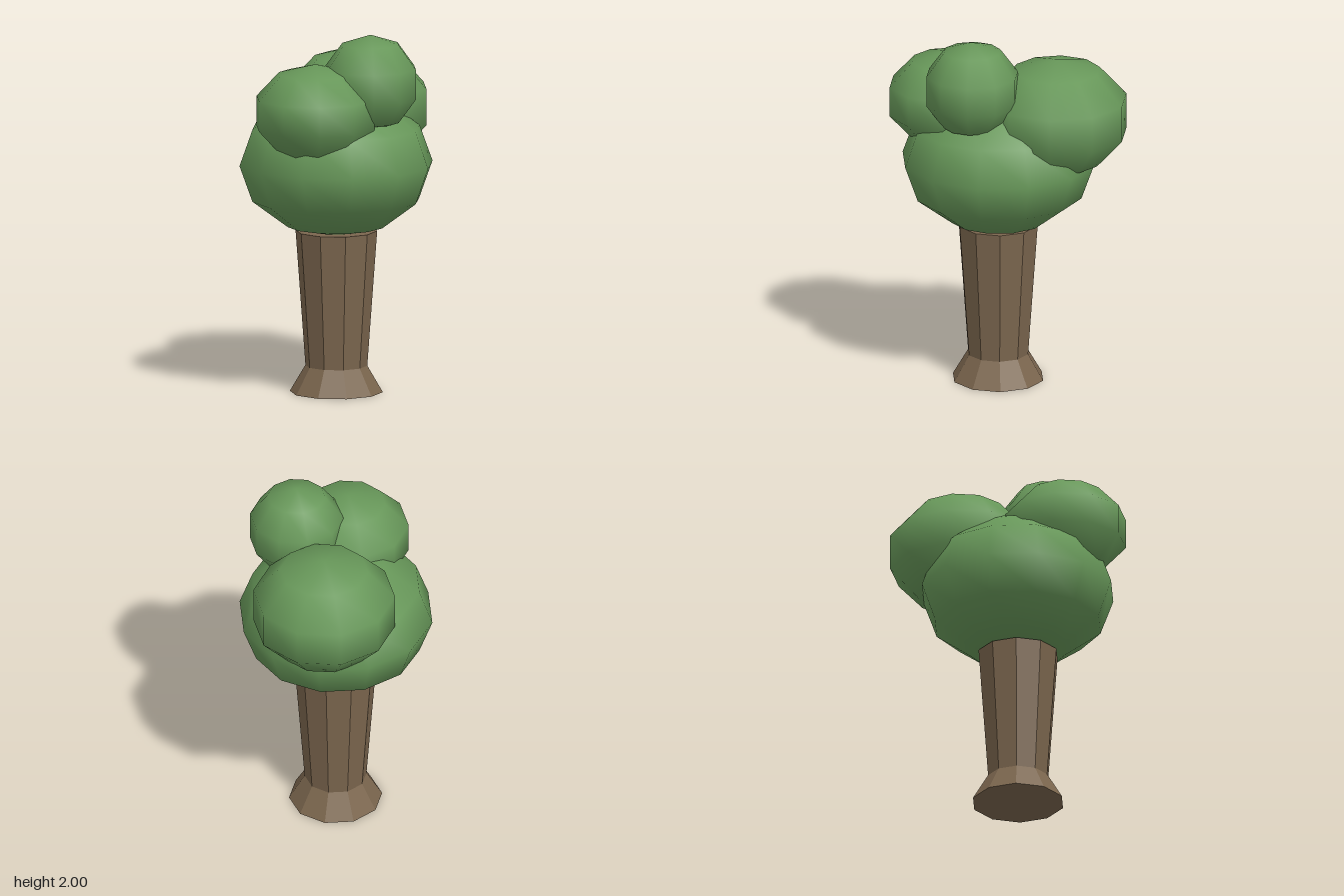
import * as THREE from 'three';

export function createModel() {
  const tree = new THREE.Group();
  tree.name = 'tree';
  const bark = new THREE.MeshStandardMaterial({ color: 0x7b664e });
  bark.name = 'bark brown';
  bark.flatShading = true;
  const leaf = new THREE.MeshStandardMaterial({ color: 0x679759 });
  leaf.name = 'leaf green';

  const add = (name, geometry, material, x, y, z) => {
    const mesh = new THREE.Mesh(geometry, material);
    mesh.name = name;
    mesh.position.set(x, y, z);
    tree.add(mesh);
    return mesh;
  };

  // Trunk: ten-sided, flared foot, widening toward the crown, closed at both ends
  const profile = [[0, 0], [0.254, 0], [0.169, 0.145], [0.223, 0.89], [0, 0.89]]
    .map(([r, y]) => new THREE.Vector2(r, y));
  add('trunk', new THREE.LatheGeometry(profile, 10, Math.PI / 20), bark, -0.047, 0, 0.008);

  // Foliage: smooth low-poly balls, slightly flattened
  const foliage = (name, sides, rings, radius, height, x, y, z) => {
    const ball = new THREE.SphereGeometry(1, sides, rings, Math.PI / 2);
    add(name, ball, leaf, x, y, z).scale.set(radius, height, radius);
  };
  foliage('mainFoliage', 12, 6, 0.533, 0.398, -0.047, 1.26, 0.005);
  foliage('leftFoliage', 10, 5, 0.407, 0.323, 0.238, 1.533, -0.153);
  foliage('rightFoliage', 10, 5, 0.347, 0.27, -0.297, 1.582, 0.13);
  foliage('topFoliage', 10, 5, 0.268, 0.266, -0.013, 1.734, 0.257);

  return tree;
}
